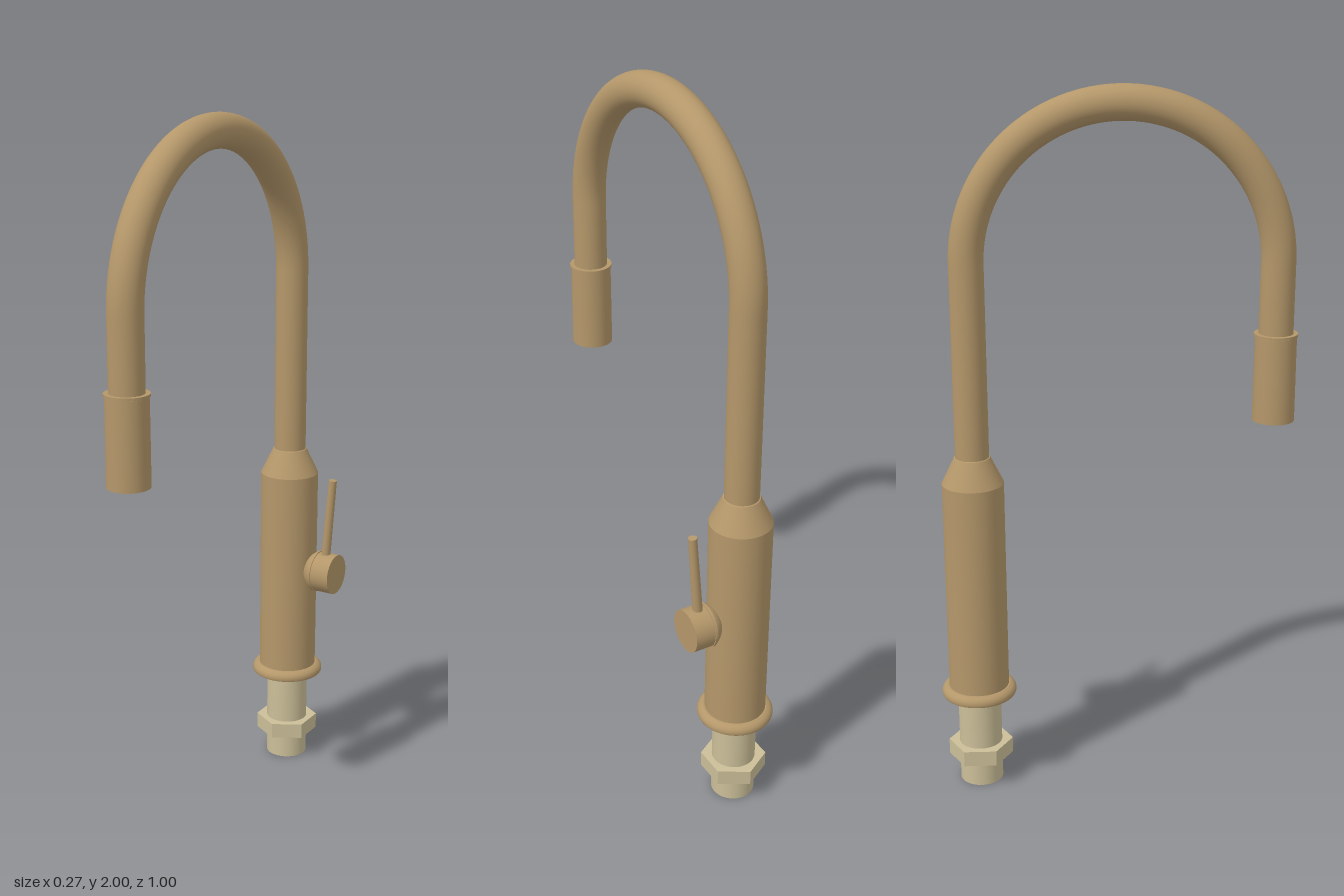
import * as THREE from 'three';

const AXIS_X = -0.031, BACK_Z = -0.392, SPOUT_Z = 0.438;

export function createModel() {
  const faucet = new THREE.Group();
  faucet.name = 'faucet';
  const bronze = new THREE.MeshStandardMaterial({ color: 0xb4976a });
  bronze.name = 'brushed bronze';
  const steel = new THREE.MeshStandardMaterial({ color: 0xcbbe98 });
  steel.name = 'pale shank metal';

  const add = (name, geometry, material, x = AXIS_X, y = 0, z = BACK_Z, parent = faucet) => {
    const mesh = new THREE.Mesh(geometry, material);
    mesh.name = name;
    mesh.position.set(x, y, z);
    parent.add(mesh);
    return mesh;
  };

  // Lathe made of separate smooth sections, so the edges between them stay sharp
  const turned = (name, sections, material, x, y, z, parent = faucet) => {
    const group = new THREE.Group();
    group.name = name;
    group.position.set(x, y, z);
    parent.add(group);
    sections.forEach((pts, i) => add(`${name}Section${i + 1}`,
      new THREE.LatheGeometry(pts.map(([r, h]) => new THREE.Vector2(r, h)), 48),
      material, 0, 0, 0, group));
    return group;
  };

  // Mounting shank and hexagonal nut below the counter
  add('shank', new THREE.CylinderGeometry(0.062, 0.062, 0.285, 48), steel, AXIS_X, 0.1425);
  const nut = new THREE.CylinderGeometry(0.093, 0.093, 0.046, 6).toNonIndexed();
  nut.computeVertexNormals();
  add('hexNut', nut, steel, AXIS_X, 0.098);

  // Base flange with a rounded rim
  turned('baseFlange', [
    [[0, 0.277], [0.105, 0.277]],
    [[0.105, 0.277], [0.107, 0.281], [0.107, 0.289], [0.104, 0.296], [0.098, 0.302], [0.09, 0.305]],
    [[0.09, 0.305], [0.08, 0.305]],
  ], bronze, AXIS_X, 0, BACK_Z);

  // Body column with tapered shoulder
  turned('body', [
    [[0.086, 0.3], [0.086, 0.923]],
    [[0.086, 0.923], [0.05, 0.998]],
    [[0.05, 0.998], [0.045, 1.0]],
  ], bronze, AXIS_X, 0, BACK_Z);

  // Gooseneck: straight riser, half circle, short drop
  const radius = (SPOUT_Z - BACK_Z) / 2, archY = 2 - 0.047 - radius;
  const at = (y, z) => new THREE.Vector3(AXIS_X, y, z);
  class Gooseneck extends THREE.Curve {
    getPoint(t, target = new THREE.Vector3()) {
      const rise = archY - 0.98, arc = Math.PI * radius, drop = archY - 1.32;
      const s = t * (rise + arc + drop);
      if (s < rise) return target.copy(at(0.98 + s, BACK_Z));
      if (s > rise + arc) return target.copy(at(archY - (s - rise - arc), SPOUT_Z));
      const a = (s - rise) / radius;
      return target.copy(at(archY + radius * Math.sin(a), BACK_Z + radius * (1 - Math.cos(a))));
    }
  }
  add('gooseneck', new THREE.TubeGeometry(new Gooseneck(), 110, 0.047, 40), bronze, 0, 0, 0);

  // Pull-down spray head with its collar
  add('sprayHead', new THREE.CylinderGeometry(0.057, 0.058, 0.236, 48), bronze, AXIS_X, 1.213, SPOUT_Z);
  add('sprayCollar', new THREE.CylinderGeometry(0.06, 0.06, 0.008, 48), bronze, AXIS_X, 1.336, SPOUT_Z);

  // Side handle: domed mount, ring and barrel turned about the x axis
  const handle = new THREE.Group();
  handle.name = 'handle';
  handle.position.set(0, 0.624, BACK_Z);
  faucet.add(handle);
  const barrel = turned('handleBarrel', [
    [[0.02, 0.025], [0.035, 0.04], [0.047, 0.05], [0.055, 0.059], [0.06, 0.07]],
    [[0.06, 0.07], [0.063, 0.07]],
    [[0.063, 0.07], [0.063, 0.077]],
    [[0.063, 0.077], [0.06, 0.077]],
    [[0.06, 0.077], [0.06, 0.135]],
    [[0.06, 0.135], [0, 0.135]],
  ], bronze, 0, 0, 0, handle);
  barrel.rotation.z = -Math.PI / 2;

  // Slim lever leaning outwards
  const from = new THREE.Vector3(0.097, 0.04, 0), to = new THREE.Vector3(0.117, 0.295, 0);
  const dir = to.clone().sub(from);
  const mid = from.clone().add(to).multiplyScalar(0.5);
  const lever = add('lever', new THREE.CylinderGeometry(0.012, 0.014, dir.length(), 24),
    bronze, mid.x, mid.y, mid.z, handle);
  lever.quaternion.setFromUnitVectors(new THREE.Vector3(0, 1, 0), dir.normalize());

  return faucet;
}
